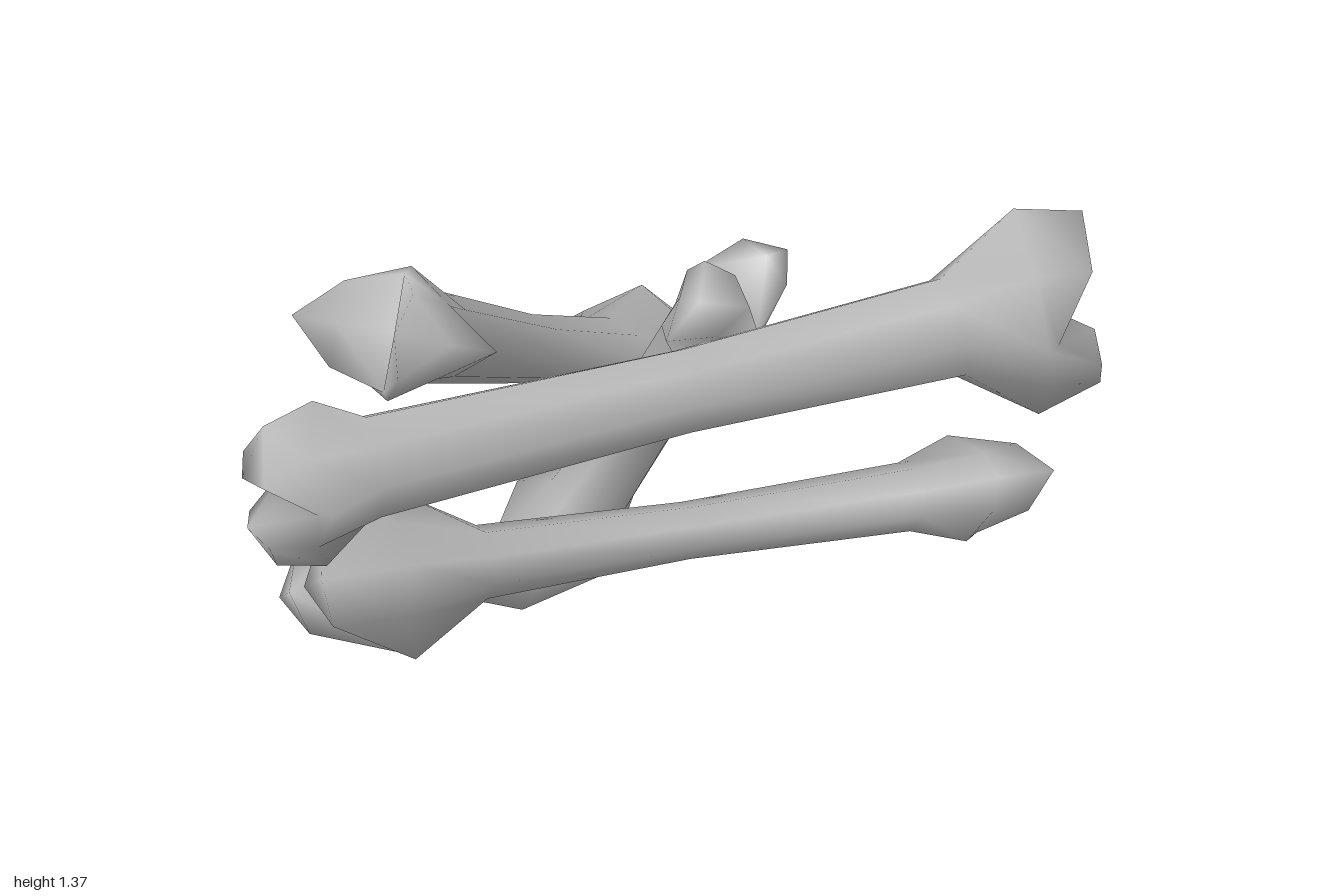
import * as THREE from 'three';

const SIDES = 8;

// Cross-section ring: k=0 +w, k=2 +v, k=4 -w, k=6 -v (entries are [u, v, w])
function ellipseRing(u, rv, rw, offset) {
  return Array.from({ length: SIDES }, (_, k) => {
    const a = (k / SIDES) * Math.PI * 2;
    return [u, Math.sin(a) * rv + offset, Math.cos(a) * rw];
  });
}

// Mirrors side, quarter and lobe points into a full forked ring
function forkRing(side, quarter, lobe) {
  const at = (p, sv, sw) => [p[0], p[1] * sv, p[2] * sw];
  return [
    at(side, 1, 1), at(quarter, 1, 1), at(lobe, 1, 1), at(quarter, 1, -1),
    at(side, 1, -1), at(quarter, -1, -1), at(lobe, -1, 1), at(quarter, -1, 1),
  ];
}

// One bone: shaft between two notches, each end flaring into two lobes along the fork direction
function makeBone(name, material, spec) {
  const { small, big, fork, hSmall, hBig, rv, rw, reach, flare, bow = 0, tilt = 0, wide = 0.57 } = spec;
  const P = new THREE.Vector3(...small), Q = new THREE.Vector3(...big);
  const length = P.distanceTo(Q);
  const U = Q.clone().sub(P).normalize();
  const V = new THREE.Vector3(...fork);
  V.addScaledVector(U, -V.dot(U)).normalize();
  const W = U.clone().cross(V);

  // shoulder, out: where each lobe's outer edge starts and ends; tipV, tipW: how blunt it is
  const endRings = (H, lean, grow, shoulder, out, tipV, tipW) => {
    const shape = [
      ellipseRing(-0.68 * H, rv * grow, rw * 1.25, bow),
      forkRing([-0.1 * H, 0, wide * H], [0, 0.52 * H, wide * 0.53 * H], [shoulder * H, H, 0]),
      forkRing([0.02 * H, 0, wide * 0.88 * H], [0.5 * H, tipV * H, tipW * wide * H], [out * H, 0.84 * H, 0]),
      [[0, 0, 0], [0.62 * H, 0.3 * H, 0], [0.62 * H, -0.3 * H, 0]],
    ];
    return shape.map(r => r.map(([u, v, w]) => [u - lean * v, v, w]));
  };
  const a = endRings(hSmall, 0, flare[0], -0.15, reach[0], 0.36, 0.63)
    .map(r => r.map(([u, v, w]) => [-u, v, w]));
  const b = endRings(hBig, tilt, flare[1], 0.02, reach[1], 0.45, 0.5)
    .map(r => r.map(([u, v, w]) => [u + length, v, w]));
  const rings = [a[2], a[1], a[0], ellipseRing(length * 0.5, rv, rw, bow), b[0], b[1], b[2]];

  const positions = [], index = [];
  const push = ([u, v, w]) => {
    const p = P.clone().addScaledVector(U, u).addScaledVector(V, v).addScaledVector(W, w);
    positions.push(p.x, p.y, p.z);
  };
  rings.forEach(r => r.forEach(push));
  for (let i = 0; i < rings.length - 1; i++) {
    for (let k = 0; k < SIDES; k++) {
      const p = i * SIDES + k, q = i * SIDES + (k + 1) % SIDES;
      index.push(p, p + SIDES, q, q, p + SIDES, q + SIDES);
    }
  }

  // Lobe tips and the valley between them
  const cap = (base, points, flip) => {
    const n = positions.length / 3;
    points.forEach(push);
    const tri = (x, y, z) => (flip ? index.push(x, z, y) : index.push(x, y, z));
    for (const [start, tip] of [[0, n + 1], [4, n + 2]]) {
      const k = j => base + (start + j) % SIDES;
      for (let j = 0; j < 4; j++) tri(tip, k(j + 1), k(j));
      tri(n, tip, k(0));
      tri(n, k(4), tip);
    }
  };
  cap(0, a[3], true);
  cap((rings.length - 1) * SIDES, b[3], false);

  const geometry = new THREE.BufferGeometry();
  geometry.setAttribute('position', new THREE.Float32BufferAttribute(positions, 3));
  geometry.setIndex(index);
  geometry.computeVertexNormals();
  const mesh = new THREE.Mesh(geometry, material);
  mesh.name = name;
  return mesh;
}

export function createModel() {
  const group = new THREE.Group();
  group.name = 'bonePile';
  const boneGrey = new THREE.MeshStandardMaterial({ color: 0xb8b8b8 });
  boneGrey.name = 'boneGrey';

  const bones = {
    upperFrontBone: {
      small: [-0.865, 0.785, 0.155], big: [0.775, 0.783, 0.125], fork: [0, 1, 0],
      hSmall: 0.2, hBig: 0.277, rv: 0.104, rw: 0.066,
      reach: [0.36, 0.62], flare: [1.15, 1.25], bow: 0.014, tilt: 0.2,
    },
    lowerBone: {
      small: [0.79, 0.172, -0.1], big: [-0.65, 0.35, -0.07], fork: [0, 0.63, 0.78],
      hSmall: 0.225, hBig: 0.33, rv: 0.103, rw: 0.066,
      reach: [0.6, 0.6], flare: [1.1, 1.15], bow: -0.028, tilt: -0.1,
    },
    diagonalBone: {
      small: [-0.725, 1.245, 0.385], big: [0.03, 0.58, -0.33], fork: [0.74, 0, 0.67],
      hSmall: 0.195, hBig: 0.27, rv: 0.085, rw: 0.072,
      reach: [0.5, 0.5], flare: [1.2, 1.25], wide: 0.65,
    },
    uprightBone: {
      small: [0.1, 0.925, 0.03], big: [-0.17, 0.155, -0.325], fork: [0.87, -0.02, -0.48],
      hSmall: 0.19, hBig: 0.265, rv: 0.109, rw: 0.075,
      reach: [0.45, 0.42], flare: [1.05, 1.08], bow: 0.022,
    },
  };
  for (const [name, spec] of Object.entries(bones)) group.add(makeBone(name, boneGrey, spec));
  return group;
}
